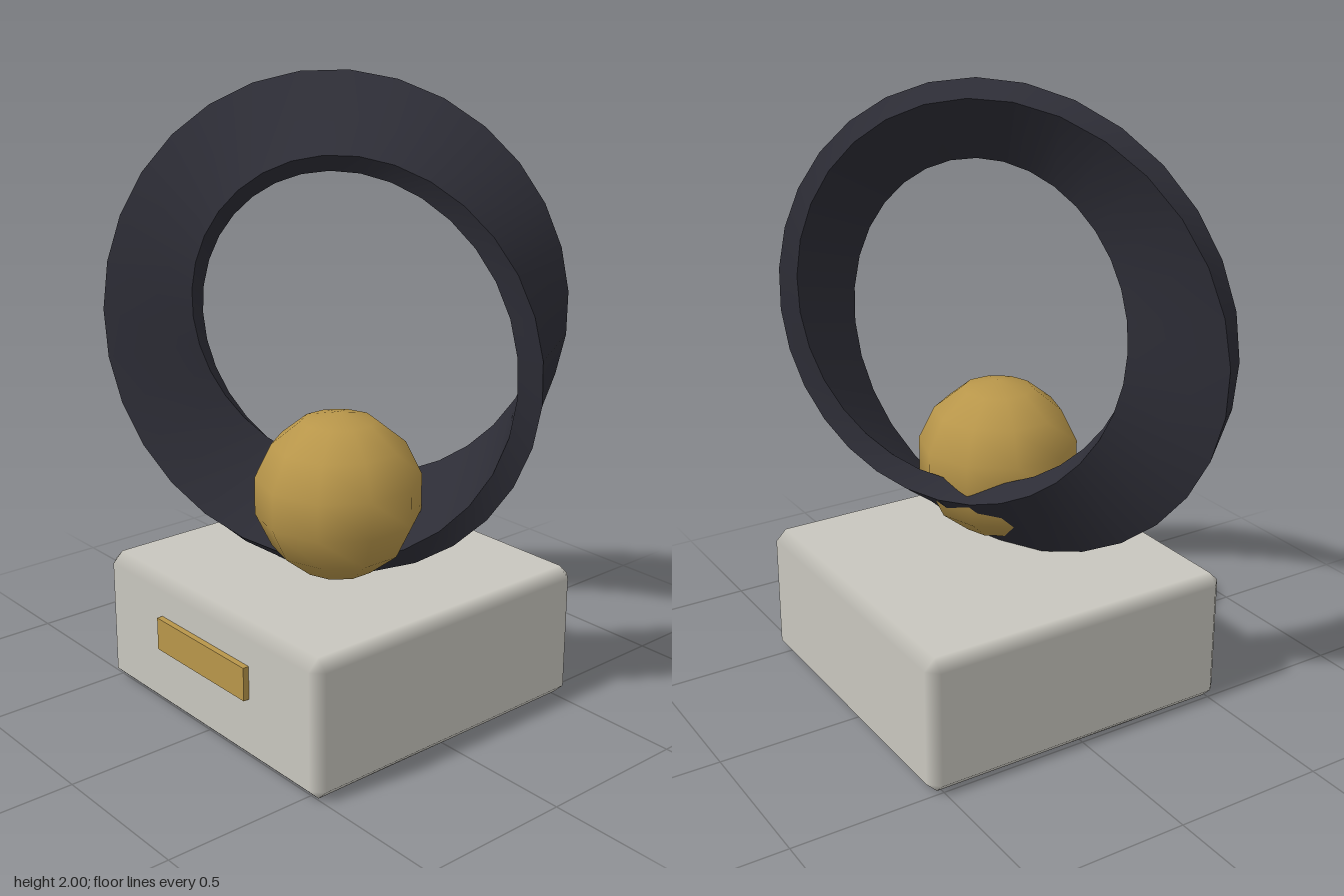
import * as THREE from 'three';
import { ConvexGeometry } from 'three/addons/geometries/ConvexGeometry.js';

const stone = new THREE.MeshStandardMaterial({ name: 'paleStone', color: 0xc8c6be });
const gold = new THREE.MeshStandardMaterial({ name: 'agedGold', color: 0xb8964a });
const dark = new THREE.MeshStandardMaterial({ name: 'darkMetal', color: 0x2d2d36 });

function addMesh(parent, name, geometry, material, x = 0, y = 0, z = 0) {
  const mesh = new THREE.Mesh(geometry, material);
  mesh.name = name;
  mesh.position.set(x, y, z);
  parent.add(mesh);
  return mesh;
}

// Box with chamfered edges, shaded softly across the chamfers
function chamferedBox(w, h, d, c) {
  const half = [w / 2, h / 2, d / 2];
  const points = [];
  for (const sx of [-1, 1]) for (const sy of [-1, 1]) for (const sz of [-1, 1]) {
    const s = [sx, sy, sz];
    for (let axis = 0; axis < 3; axis++) {
      points.push(new THREE.Vector3(...half.map((v, k) => s[k] * (k === axis ? v : v - c))));
    }
  }
  const geo = new ConvexGeometry(points);
  const pos = geo.attributes.position;
  const nor = geo.attributes.normal;
  // Each corner point lies on exactly one main face and takes its normal
  for (let i = 0; i < pos.count; i++) {
    const p = [pos.getX(i), pos.getY(i), pos.getZ(i)];
    const n = p.map((v, k) => (Math.abs(v) > half[k] - c / 2 ? Math.sign(v) : 0));
    nor.setXYZ(i, ...n);
  }
  return geo;
}

// One side of a band with a half twist; it closes on itself after two turns.
// p and q are section corners: [across the width, across the thickness]
function twistedStrip(radius, p, q, segments) {
  const count = segments * 2;
  const positions = [];
  const indices = [];
  for (let i = 0; i < count; i++) {
    const theta = (i / segments) * Math.PI * 2;
    const phi = -theta / 2;
    for (const [a, b] of [p, q]) {
      const r = radius + a * Math.sin(phi) + b * Math.cos(phi);
      positions.push(r * Math.cos(theta), r * Math.sin(theta), a * Math.cos(phi) - b * Math.sin(phi));
    }
    const j = i * 2;
    const k = ((i + 1) % count) * 2;
    indices.push(j, k, k + 1, j, k + 1, j + 1);
  }
  const geo = new THREE.BufferGeometry();
  geo.setAttribute('position', new THREE.Float32BufferAttribute(positions, 3));
  geo.setIndex(indices);
  geo.computeVertexNormals();
  return geo;
}

export function createModel() {
  const model = new THREE.Group();
  model.name = 'ringSculpture';

  // Plinth and its plaque
  addMesh(model, 'plinth', chamferedBox(1.08, 0.45, 1.08, 0.036), stone, 0.022, 0.228, -0.01);
  addMesh(model, 'plaque', new THREE.BoxGeometry(0.45, 0.108, 0.03), gold, 0.022, 0.275, 0.535);

  // Twisted ring, turned on the plinth
  const ring = new THREE.Group();
  ring.name = 'twistedRing';
  ring.position.set(0.022, 1.225, -0.012);
  ring.rotation.y = Math.PI / 6;
  const w = 0.16, t = 0.0375;
  addMesh(ring, 'ringFace', twistedStrip(0.64, [-w, t], [w, t], 32), dark);
  addMesh(ring, 'ringEdge', twistedStrip(0.64, [w, t], [w, -t], 32), dark);
  model.add(ring);

  // Ball resting inside the ring
  const ball = addMesh(model, 'ball', new THREE.SphereGeometry(0.267, 10, 7), gold, 0.13, 0.73, 0.083);
  ball.rotation.y = Math.PI / 10;

  return model;
}
